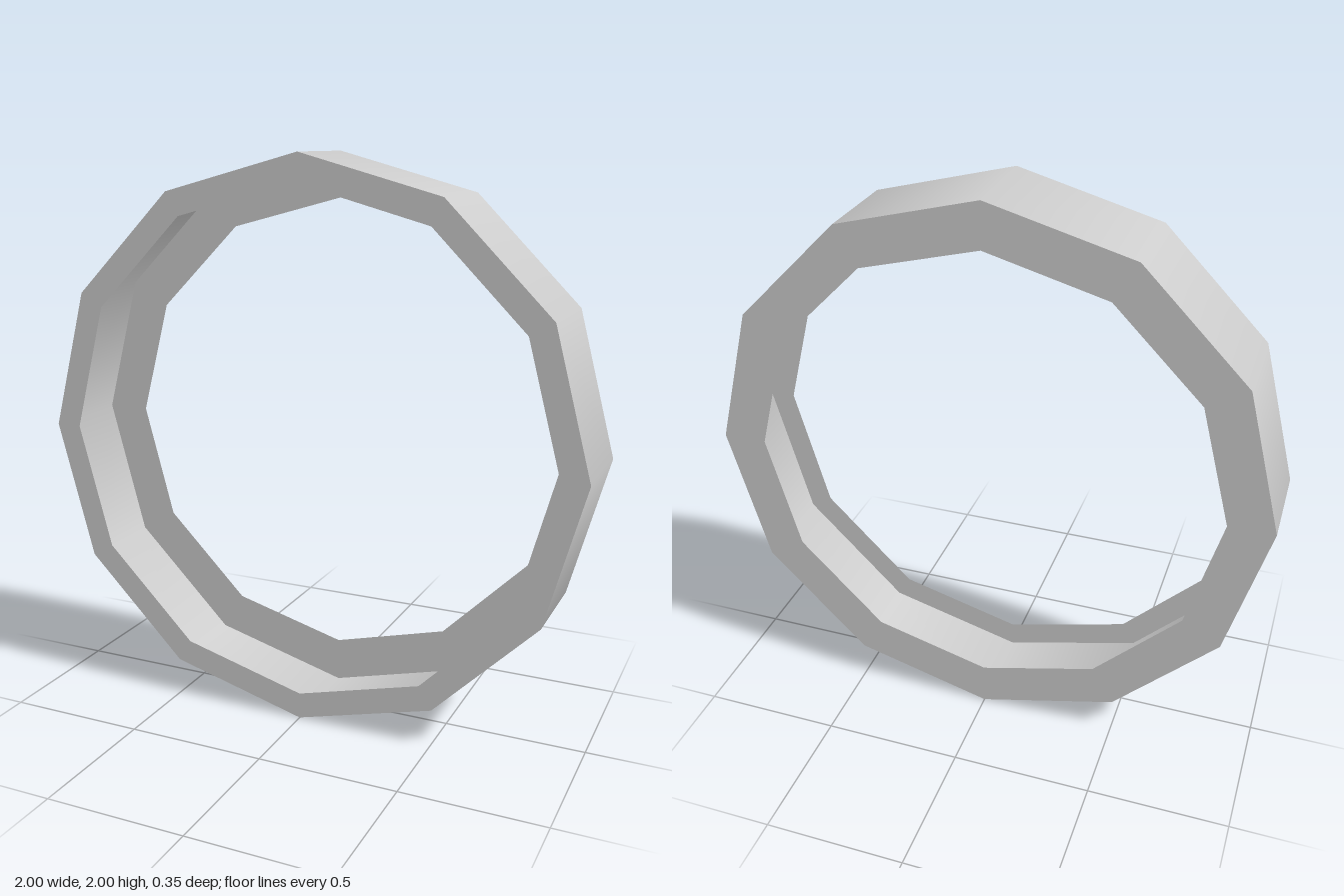
import * as THREE from 'three';

const SIDES = 12;
const HALF_DEPTH = 0.177;

export function createModel() {
  const group = new THREE.Group();
  group.name = 'ringChannel';
  const lightGrey = new THREE.MeshStandardMaterial({ color: 0xcccccc, side: THREE.DoubleSide });
  lightGrey.name = 'light grey';

  const add = (name, geometry, z = 0) => {
    const mesh = new THREE.Mesh(geometry, lightGrey);
    mesh.name = name;
    mesh.position.set(0, 1, z);
    group.add(mesh);
    return mesh;
  };

  // Thin outer band, smooth around its twelve sides
  const band = new THREE.CylinderGeometry(1, 1, 2 * HALF_DEPTH, SIDES, 1, true);
  band.rotateX(Math.PI / 2);
  add('outerBand', band);

  // Narrow front flange and wider back flange, open channel between them
  add('frontFlange', new THREE.RingGeometry(0.905, 1, SIDES), HALF_DEPTH);
  const back = new THREE.RingGeometry(0.84, 1, SIDES);
  back.rotateY(Math.PI);
  add('backFlange', back, -HALF_DEPTH);

  return group;
}
